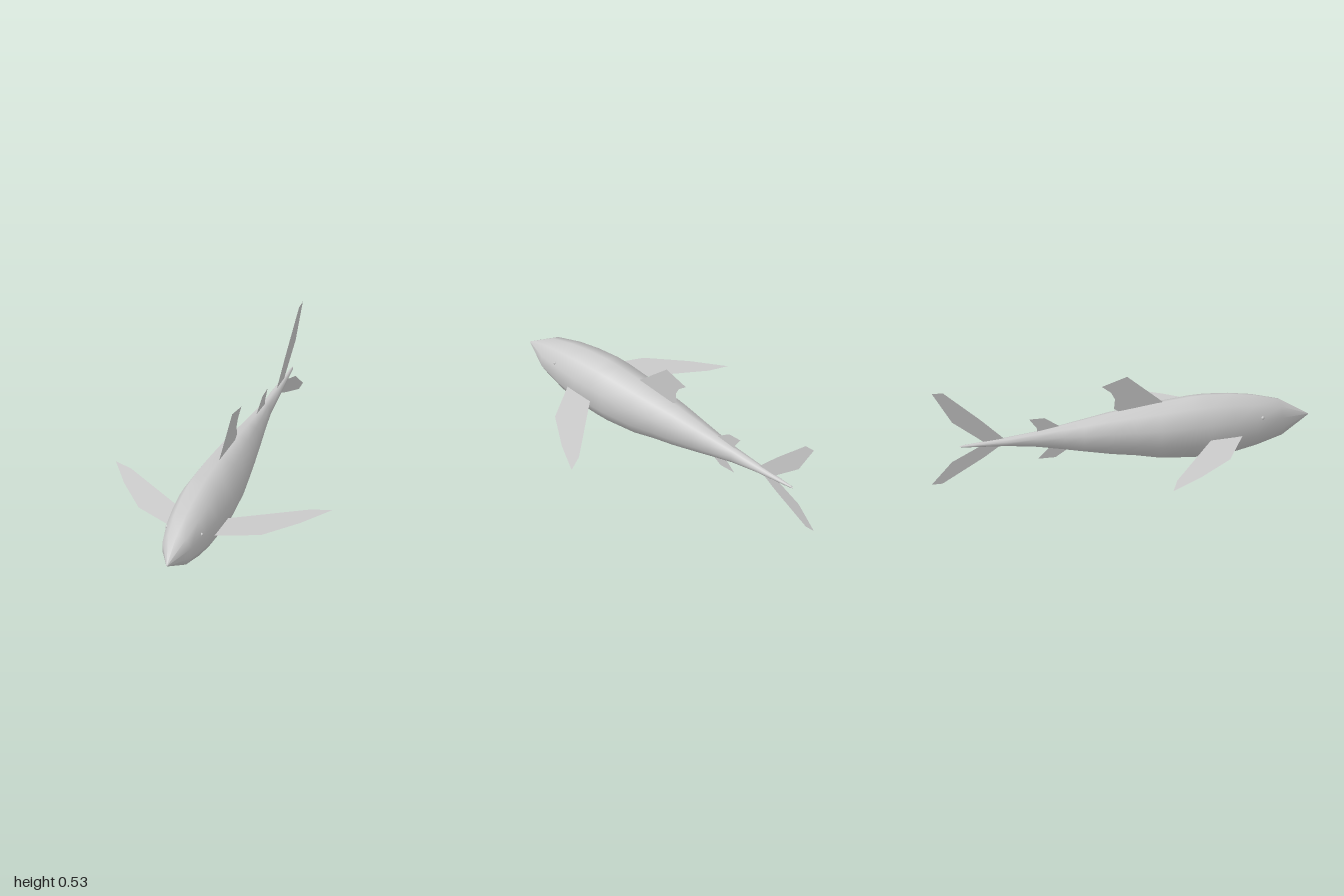
import * as THREE from 'three';

const SIDES = 10;
const bodyMaterial = new THREE.MeshStandardMaterial({ color: 0xcccccc });
const finMaterial = new THREE.MeshStandardMaterial({ color: 0xcccccc, side: THREE.DoubleSide });

// Body stations from nose to tail: z, top y, bottom y, half width
const stations = [
  [1.0, 0.207, 0.203, 0.002],
  [0.85, 0.305, 0.105, 0.08],
  [0.71, 0.343, 0.062, 0.111],
  [0.59, 0.362, 0.035, 0.126],
  [0.46, 0.37, 0.028, 0.135],
  [0.38, 0.368, 0.026, 0.134],
  [0.2, 0.35, 0.04, 0.123],
  [0.07, 0.333, 0.068, 0.108],
  [-0.05, 0.318, 0.085, 0.091],
  [-0.2, 0.291, 0.115, 0.068],
  [-0.3, 0.274, 0.136, 0.052],
  [-0.44, 0.251, 0.164, 0.032],
  [-0.6, 0.231, 0.187, 0.024],
  [-0.83, 0.212, 0.2, 0.007],
  [-0.85, 0.207, 0.204, 0.002],
];

// Ten-sided cross-sections joined into one smooth skin
function bodyGeometry() {
  const positions = [];
  const indices = [];
  for (const [z, top, bottom, halfWidth] of stations) {
    const cy = (top + bottom) / 2;
    const ry = (top - bottom) / 2;
    const rx = halfWidth / Math.sin(Math.PI * 0.4);
    for (let j = 0; j < SIDES; j++) {
      const a = (j / SIDES) * Math.PI * 2;
      positions.push(rx * Math.sin(a), cy + ry * Math.cos(a), z);
    }
  }
  for (let i = 0; i < stations.length - 1; i++) {
    for (let j = 0; j < SIDES; j++) {
      const a = i * SIDES + j;
      const b = i * SIDES + ((j + 1) % SIDES);
      indices.push(a, b, a + SIDES, b, b + SIDES, a + SIDES);
    }
  }
  const geometry = new THREE.BufferGeometry();
  geometry.setAttribute('position', new THREE.Float32BufferAttribute(positions, 3));
  geometry.setIndex(indices);
  geometry.computeVertexNormals();
  return geometry;
}

function flatShape(points) {
  return new THREE.ShapeGeometry(new THREE.Shape(points.map(([u, v]) => new THREE.Vector2(u, v))));
}

// Upright fins on the centre line, outlined as z, y
const uprightFins = {
  dorsalFin: [[0.24, 0.345], [0.04, 0.52], [-0.095, 0.475], [-0.045, 0.435], [-0.025, 0.395], [-0.03, 0.34], [0, 0.32]],
  rearDorsalFin: [[-0.31, 0.265], [-0.4, 0.325], [-0.48, 0.325], [-0.44, 0.27], [-0.44, 0.245]],
  analFin: [[-0.26, 0.145], [-0.34, 0.092], [-0.435, 0.092], [-0.375, 0.15], [-0.36, 0.165]],
  upperTailFin: [[-0.61, 0.225], [-0.74, 0.35], [-0.94, 0.527], [-0.997, 0.527], [-0.89, 0.35], [-0.715, 0.215]],
  lowerTailFin: [[-0.62, 0.2], [-0.72, 0.13], [-0.94, 0], [-0.997, 0], [-0.89, 0.12], [-0.715, 0.21]],
};

// Side fin outlined as x, z; it droops gently towards the tip
const sideFin = [[0.1, 0.635], [0.13, 0.622], [0.34, 0.515], [0.49, 0.33], [0.6, 0.16], [0.5, 0.2], [0.13, 0.46], [0.1, 0.48]];

function sideFinGeometry(side) {
  const geometry = flatShape(sideFin.map(([x, z]) => [x * side, z]));
  const p = geometry.attributes.position;
  for (let i = 0; i < p.count; i++) {
    const x = p.getX(i);
    p.setXYZ(i, x, 0.173 - 0.07 * (Math.abs(x) - 0.13), p.getY(i));
  }
  geometry.computeVertexNormals();
  return geometry;
}

export function createModel() {
  const model = new THREE.Group();
  model.name = 'fish';

  const add = (name, geometry, material) => {
    const mesh = new THREE.Mesh(geometry, material);
    mesh.name = name;
    model.add(mesh);
    return mesh;
  };

  add('body', bodyGeometry(), bodyMaterial);

  for (const [name, outline] of Object.entries(uprightFins)) {
    add(name, flatShape(outline).rotateY(-Math.PI / 2), finMaterial);
  }

  // Mirrored side fins and tiny eyes
  for (const [label, side] of [['left', 1], ['right', -1]]) {
    add(label + 'SideFin', sideFinGeometry(side), finMaterial);
    const eye = add(label + 'Eye', new THREE.SphereGeometry(0.009, 8, 6), bodyMaterial);
    eye.position.set(side * 0.096, 0.255, 0.74);
  }
  return model;
}
